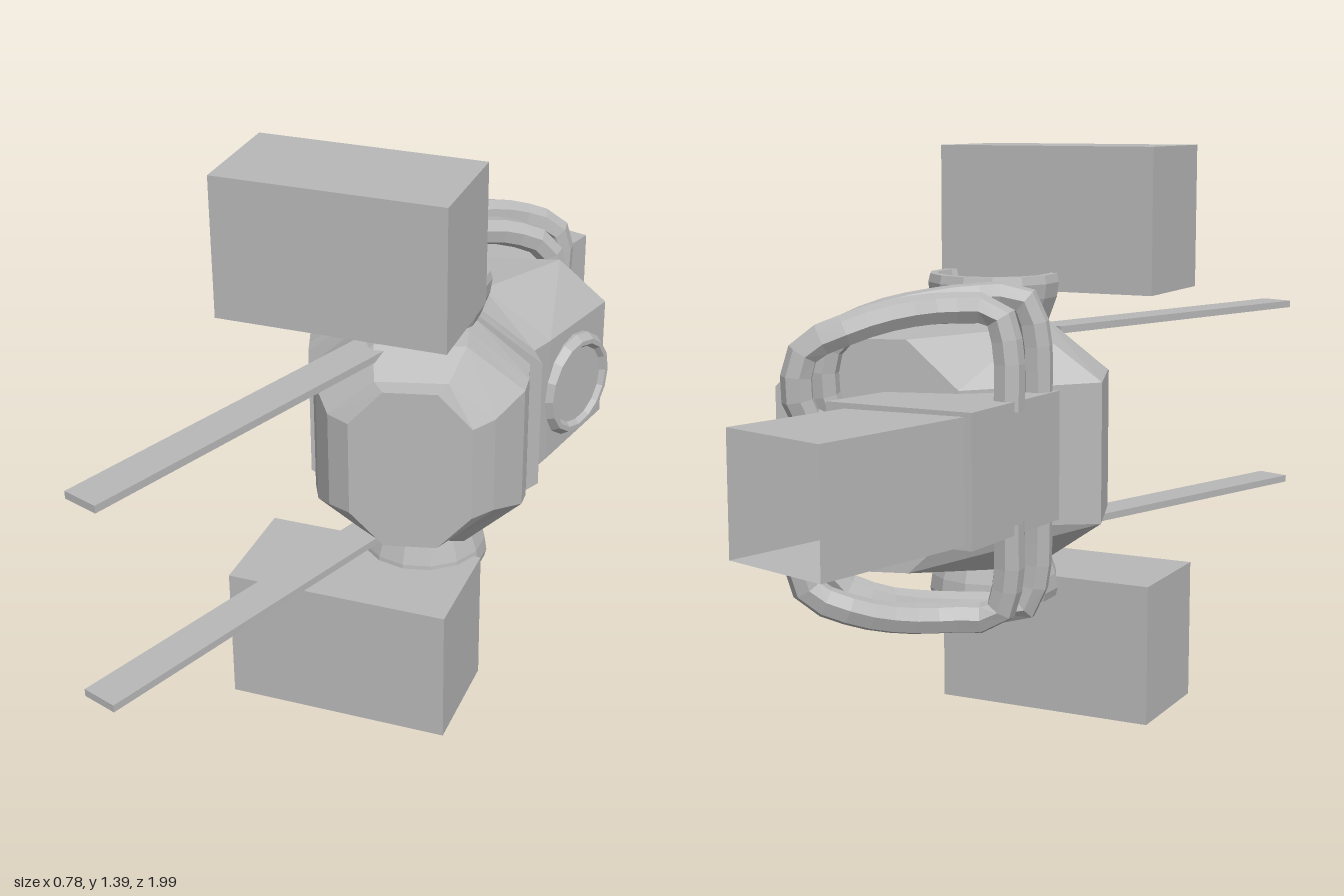
import * as THREE from 'three';

const MID = 0.695; // height of the horizontal symmetry plane

const grey = new THREE.MeshStandardMaterial({ color: 0xb8b8b8, flatShading: true, side: THREE.DoubleSide });
grey.name = 'plain grey';

// Cross-section outlines: u runs right-to-left across the section, v is a fraction of half height
const OCTAGON = [[1, -0.58], [1, 0.58], [0.72, 1], [0.28, 1], [0, 0.58], [0, -0.58], [0.28, -1], [0.72, -1]];
const SQUARE = [[1, -1], [1, 1], [0, 1], [0, -1]];

// Skin a row of sections [leftX, leftZ, rightX, rightZ, halfHeight], ordered front to back
function loft(outline, sections, capFront = true, capBack = true) {
  const rings = sections.map(([lx, lz, rx, rz, h]) =>
    outline.map(([u, v]) => [lx + (rx - lx) * u, MID + h * v, lz + (rz - lz) * u]));
  const n = outline.length;
  const out = [];
  const tri = (a, b, c) => out.push(...a, ...b, ...c);
  for (let s = 0; s < rings.length - 1; s++) {
    for (let i = 0; i < n; i++) {
      const j = (i + 1) % n;
      tri(rings[s][i], rings[s + 1][i], rings[s + 1][j]);
      tri(rings[s][i], rings[s + 1][j], rings[s][j]);
    }
  }
  const first = rings[0], last = rings[rings.length - 1];
  for (let i = 1; i < n - 1; i++) {
    if (capFront) tri(first[0], first[i], first[i + 1]);
    if (capBack) tri(last[0], last[i + 1], last[i]);
  }
  const g = new THREE.BufferGeometry();
  g.setAttribute('position', new THREE.Float32BufferAttribute(out, 3));
  g.computeVertexNormals();
  return g;
}

export function createModel() {
  const model = new THREE.Group();
  model.name = 'model';
  const add = (name, geometry, parent = model) => {
    const mesh = new THREE.Mesh(geometry, grey);
    mesh.name = name;
    parent.add(mesh);
    return mesh;
  };

  // Faceted hull in two sections with a stepped seam between
  add('frontHull', loft(OCTAGON, [
    [-0.05, 0.28, 0.23, 0.21, 0.205],
    [-0.11, 0.255, 0.265, 0.15, 0.21],
    [-0.165, 0.19, 0.305, 0.05, 0.265],
    [-0.2, 0.12, 0.3, 0.0, 0.275],
    [-0.2, 0.04, 0.28, -0.075, 0.28],
  ]));
  add('rearHull', loft(OCTAGON, [
    [-0.24, 0.05, 0.31, -0.075, 0.285],
    [-0.25, 0.02, 0.275, -0.13, 0.29],
    [-0.31, -0.15, 0.295, -0.2, 0.285],
    [-0.05, -0.36, 0.36, -0.48, 0.27],
  ]));

  // Rear duct: solid neck and an open outlet bent to the side
  add('ductNeck', loft(SQUARE, [
    [-0.235, -0.18, 0.06, -0.2, 0.15],
    [-0.2, -0.585, 0.16, -0.585, 0.15],
  ]));
  add('ductOutlet', loft(SQUARE, [
    [-0.183, -0.585, 0.105, -0.6, 0.14],
    [-0.08, -1.0, 0.195, -0.915, 0.14],
  ], false, false));

  // Round port on the left flank
  const port = new THREE.Group();
  port.name = 'sidePort';
  port.position.set(0.35, MID, -0.305);
  port.rotation.y = -Math.atan2(0.08, 0.23);
  model.add(port);
  const rim = [[0.13, -0.07], [0.135, -0.02], [0.122, 0], [0.11, 0], [0.1, -0.012], [0, -0.012]];
  const rimGeo = new THREE.LatheGeometry(rim.map(p => new THREE.Vector2(...p)), 16);
  rimGeo.rotateZ(-Math.PI / 2);
  add('portRim', rimGeo, port);

  // Parts repeated above and below
  const cupProfile = [[0.12, 0.25], [0.135, 0.285], [0.155, 0.34], [0.16, 0.375], [0.155, 0.395],
    [0.135, 0.395], [0.125, 0.355], [0, 0.355]];
  const pipePaths = [
    [[-0.19, 0.84, -0.24], [-0.185, 0.97, -0.24], [-0.16, 1.05, -0.25], [-0.07, 1.055, -0.28], [0.02, 1.045, -0.36],
      [0.11, 1.02, -0.45], [0.19, 0.97, -0.505], [0.21, 0.88, -0.515], [0.19, 0.79, -0.5], [0.11, 0.74, -0.47]],
    [[-0.19, 0.82, -0.39], [-0.185, 0.96, -0.385], [-0.16, 1.035, -0.39], [-0.07, 1.045, -0.43], [0.02, 1.035, -0.52],
      [0.1, 1.005, -0.6], [0.175, 0.96, -0.645], [0.19, 0.88, -0.655], [0.175, 0.81, -0.64], [0.11, 0.765, -0.57]],
  ];
  for (const s of [1, -1]) {
    const side = s > 0 ? 'upper' : 'lower';

    // Large pod block
    const pod = add(side + 'Pod', new THREE.BoxGeometry(0.556, 0.345, 0.284));
    pod.position.set(-0.082, MID + s * 0.5225, 0.162);

    // Flared mounting cup between hull and pod
    const cup = add(side + 'Cup', new THREE.LatheGeometry(cupProfile.map(p => new THREE.Vector2(...p)), 14));
    cup.position.set(0.03, MID, -0.025);
    if (s < 0) cup.rotation.x = Math.PI;

    // Long flat prong reaching forward
    const prong = add(side + 'Prong', new THREE.BoxGeometry(0.09, 0.018, 0.905));
    prong.position.set(-0.197, MID + s * 0.247, 0.55);
    prong.rotation.y = Math.atan2(-0.31, 0.85);

    // Arched pipes over the back
    pipePaths.forEach((path, i) => {
      const pts = path.map(([x, y, z]) => new THREE.Vector3(x, MID + s * (y - MID), z));
      add(side + 'Pipe' + (i + 1),
        new THREE.TubeGeometry(new THREE.CatmullRomCurve3(pts), 18, 0.036, 7));
    });
  }
  return model;
}
